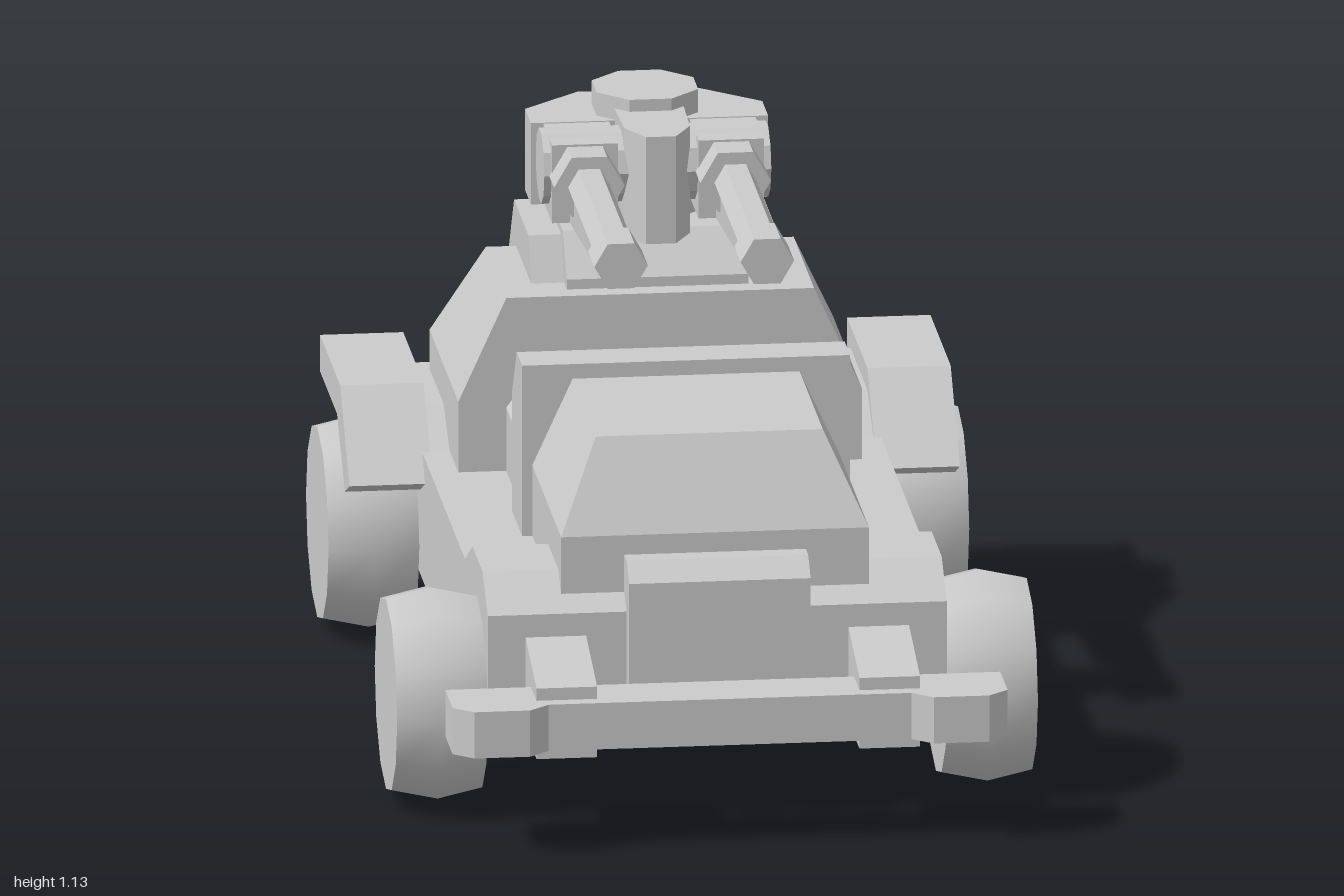
import * as THREE from 'three';
import { ConvexGeometry } from 'three/addons/geometries/ConvexGeometry.js';

const flat = new THREE.MeshStandardMaterial({ color: 0xcccccc, flatShading: true });
const smooth = new THREE.MeshStandardMaterial({ color: 0xcccccc });

export function createModel() {
  const root = new THREE.Group();
  root.name = 'armouredCar';

  const add = (name, geometry, material = flat) => {
    const mesh = new THREE.Mesh(geometry, material);
    mesh.name = name;
    root.add(mesh);
    return mesh;
  };
  const extrude = (points, depth) => new THREE.ExtrudeGeometry(
    new THREE.Shape(points.map(([a, b]) => new THREE.Vector2(a, b))), { depth, bevelEnabled: false });

  // Side profile of [z, y] points, spread across x0..x1
  const sideProfile = (name, points, x0, x1) =>
    add(name, extrude(points, x1 - x0).rotateY(-Math.PI / 2).translate(x1, 0, 0));

  // Half plan of [x, z] points mirrored in x, standing between y0 and y1
  const plan = (name, half, y0, y1) => {
    const mirrored = half.map(([x, z]) => [-x, z]).reverse();
    return add(name, extrude([...half, ...mirrored], y1 - y0).rotateX(Math.PI / 2).translate(0, y1, 0));
  };

  // Faceted shell through rectangular levels [y, halfWidth, zBack, zFront]
  const shell = (name, levels) => add(name, new ConvexGeometry(levels.flatMap(([y, w, z0, z1]) =>
    [[-w, z0], [w, z0], [w, z1], [-w, z1]].map(([x, z]) => new THREE.Vector3(x, y, z)))));

  const box = (name, x0, x1, y0, y1, z0, z1) => add(name,
    new THREE.BoxGeometry(x1 - x0, y1 - y0, z1 - z0)
      .translate((x0 + x1) / 2, (y0 + y1) / 2, (z0 + z1) / 2));

  // Call a part builder for both sides: range(a, b) gives its x limits there
  const bothSides = (build) => {
    build('left', (a, b) => [a, b], 1);
    build('right', (a, b) => [-b, -a], -1);
  };

  // Hull and bodywork
  sideProfile('chassis', [[0.745, 0.17], [0.745, 0.43], [0.655, 0.495], [0.48, 0.495], [0.35, 0.43],
    [-0.4, 0.43], [-0.5, 0.495], [-0.79, 0.495], [-0.84, 0.43], [-0.84, 0.25], [-0.7, 0.17]], -0.455, 0.455);
  shell('hood', [[0.43, 0.305, 0.18, 0.705], [0.575, 0.305, 0.18, 0.705], [0.75, 0.225, 0.18, 0.605]]);
  shell('midSection', [[0.42, 0.305, -0.26, 0.1], [0.56, 0.305, -0.26, 0.1], [0.67, 0.225, -0.26, 0.1]]);
  sideProfile('windscreenFrame', [[0.205, 0.42], [0.205, 0.78], [0.11, 0.78], [0.025, 0.67], [0.025, 0.42]],
    -0.325, 0.325);
  shell('rearCabin', [[0.42, 0.4, -0.745, -0.245], [0.575, 0.4, -0.745, -0.245], [0.785, 0.305, -0.6, -0.245]]);
  sideProfile('grille', [[0.7, 0.2], [0.79, 0.2], [0.79, 0.5], [0.745, 0.535], [0.7, 0.535]], -0.18, 0.18);
  sideProfile('rearLocker', [[-0.7, 0.14], [-0.7, 0.385], [-1, 0.385], [-1, 0.27], [-0.87, 0.14]], -0.335, 0.335);
  plan('bumper', [[0.55, 0.84], [0.55, 0.965], [0.51, 1], [0.4, 1], [0.36, 0.965]], 0.215, 0.31);

  // Wheel: tapered tread with flat caps, built around the y axis
  const tread = new THREE.LatheGeometry([[0.195, -0.09], [0.215, 0], [0.195, 0.09]]
    .map(([r, y]) => new THREE.Vector2(r, y)), 12).rotateZ(-Math.PI / 2);

  bothSides((side, range, s) => {
    sideProfile(side + 'BumperBracket', [[0.72, 0.19], [0.935, 0.19], [0.935, 0.335], [0.72, 0.39]],
      ...range(0.26, 0.38));
    sideProfile(side + 'RearFender', [[-0.34, 0.38], [-0.5, 0.54], [-0.85, 0.54], [-0.85, 0.465],
      [-0.555, 0.465], [-0.42, 0.345]], ...range(0.44, 0.605));
    for (const [end, z] of [['Front', 0.555], ['Rear', -0.635]]) {
      add(side + end + 'Wheel', tread, smooth).position.set(s * 0.545, 0.22, z);
      for (const d of [-1, 1]) {
        const cap = new THREE.CircleGeometry(0.195, 12, Math.PI / 2).rotateY(d * Math.PI / 2);
        add(side + end + 'WheelCap', cap).position.set(s * 0.545 + d * 0.09, 0.22, z);
      }
    }
    // Bent strut running over the roof and down the cabin back
    sideProfile(side + 'RoofStrut', [[-0.33, 0.77], [-0.385, 0.87], [-0.635, 0.87], [-0.755, 0.705],
      [-0.755, 0.595], [-0.65, 0.595], [-0.6, 0.77]], ...range(0.11, 0.245));
  });

  // Turret
  sideProfile('turretBase', [[-0.29, 0.775], [-0.29, 0.805], [-0.36, 0.885], [-0.7, 0.885],
    [-0.7, 0.82], [-0.6, 0.775]], -0.18, 0.18);
  add('turretDrum', new THREE.CylinderGeometry(0.109, 0.109, 0.255, 8)
    .rotateY(Math.PI / 8).translate(0, 1.007, -0.51));
  plan('turretBody', [[0.235, -0.43], [0.235, -0.53], [0.12, -0.635]], 0.92, 1.087);
  plan('gunMantlet', [[0.07, -0.5], [0.065, -0.3], [0.03, -0.232]], 0.89, 1.11);
  add('trunnion', new THREE.CylinderGeometry(0.075, 0.075, 0.45, 10)
    .rotateZ(Math.PI / 2).translate(0, 1.02, -0.36));
  box('sightMount', -0.05, 0.05, 0.96, 1.01, -0.68, -0.6);
  box('rearSight', -0.08, 0.08, 0.945, 1.025, -0.712, -0.665);

  // Twin guns with hexagonal barrels
  const hexRod = (name, r, z0, z1, x) => add(name, new THREE.CylinderGeometry(r, r, z1 - z0, 6)
    .rotateY(Math.PI / 2).rotateX(Math.PI / 2).translate(x, 1.02, (z0 + z1) / 2));
  bothSides((side, range, s) => {
    const x = s * 0.145;
    box(side + 'GunBreech', ...range(0.08, 0.21), 0.925, 1.085, -0.44, -0.28);
    hexRod(side + 'GunCollar', 0.07, -0.3, -0.205, x);
    hexRod(side + 'GunBarrel', 0.042, -0.22, 0.26, x);
    hexRod(side + 'GunMuzzle', 0.053, 0.235, 0.345, x);
    sideProfile(side + 'GunCradle', [[-0.28, 0.925], [-0.28, 1.0], [0.105, 1.0], [0.105, 0.962]],
      ...range(0.115, 0.175));
  });

  return root;
}
